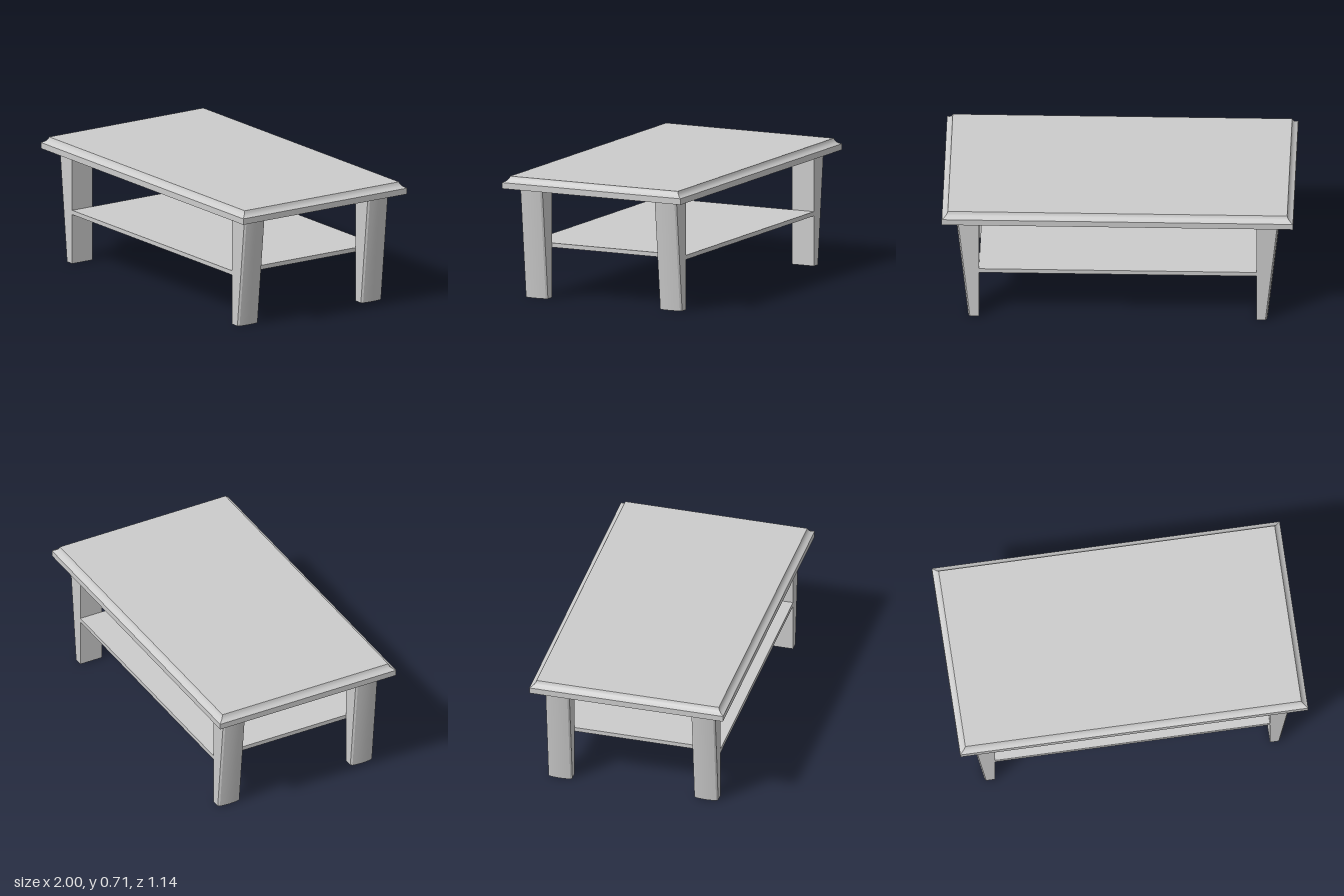
import * as THREE from 'three';
import { toCreasedNormals } from 'three/addons/utils/BufferGeometryUtils.js';

const material = new THREE.MeshStandardMaterial({ color: 0xcccccc });
const openMaterial = new THREE.MeshStandardMaterial({ color: 0xcccccc, side: THREE.DoubleSide });

// Skin a stack of matching cross-sections (counter-clockwise from above, bottom to top).
function loft(sections, capped) {
  const n = sections[0].length;
  const index = [];
  for (let s = 0; s < sections.length - 1; s++) {
    for (let i = 0; i < n; i++) {
      const a = s * n + i, b = s * n + (i + 1) % n;
      index.push(a, b, b + n, a, b + n, a + n);
    }
  }
  if (capped) {
    const top = (sections.length - 1) * n;
    for (let i = 1; i < n - 1; i++) {
      index.push(0, i + 1, i, top, top + i, top + i + 1);
    }
  }
  const geometry = new THREE.BufferGeometry();
  geometry.setAttribute('position', new THREE.Float32BufferAttribute(sections.flat(2), 3));
  geometry.setIndex(index);
  return toCreasedNormals(geometry, 0.5);
}

// Rectangular ring of the tabletop, pulled in by an inset.
function topRing([inset, y]) {
  const x = 1 - inset, z = 0.571 - inset;
  return [[x, y, z], [x, y, -z], [-x, y, -z], [-x, y, z]];
}

// Leg section: flat inner face, eased corners and a slightly bowed outer face.
function legSection(outer, y) {
  const half = 0.07;
  const side = [[0.014, half], [0.006, half - 0.01], [0.002, 0.035]];
  const front = side.map(([dx, z]) => [outer - dx, y, z]);
  const back = side.map(([dx, z]) => [outer - dx, y, -z]).reverse();
  return [[0.79, y, half], ...front, [outer, y, 0], ...back, [0.79, y, -half]];
}

export function createModel() {
  const table = new THREE.Group();
  table.name = 'coffeeTable';

  const add = (name, geometry, mat = material) => {
    const mesh = new THREE.Mesh(geometry, mat);
    mesh.name = name;
    table.add(mesh);
    return mesh;
  };

  // Tabletop with a straight lower edge and a hollow moulding above it
  const profile = [[0, 0.645], [0, 0.68], [0.014, 0.687], [0.024, 0.695], [0.03, 0.704], [0.034, 0.715]];
  add('tabletop', loft(profile.map(topRing), true));

  // Lower shelf between the legs
  add('shelf', new THREE.BoxGeometry(1.58, 0.025, 1)).position.y = 0.3025;

  // Four tapering legs, open at the foot
  const legGeometry = loft([legSection(0.855, 0), legSection(0.925, 0.645)], false);
  for (const [side, turn] of [['Left', 0], ['Right', Math.PI]]) {
    for (const [end, z] of [['front', 0.43], ['back', -0.43]]) {
      const leg = add(`${end}${side}Leg`, legGeometry, openMaterial);
      leg.position.z = z;
      leg.rotation.y = turn;
    }
  }
  return table;
}
